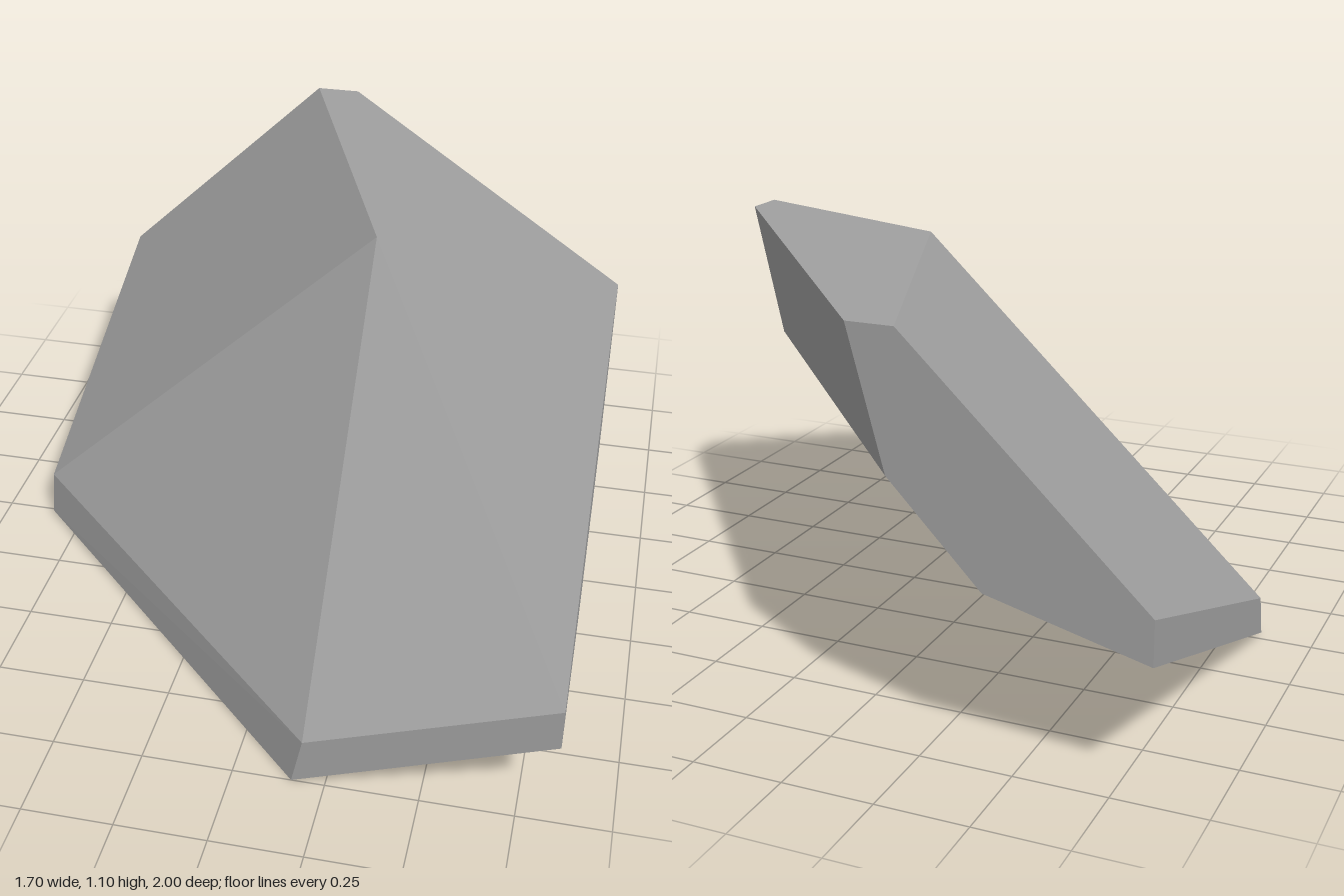
import * as THREE from 'three';
import { ConvexGeometry } from 'three/addons/geometries/ConvexGeometry.js';

const stone = new THREE.MeshStandardMaterial({ color: 0xa0a0a0 });
stone.name = 'grey stone';

// Corners of each flat cut; the faceted rock is the solid stretched between them.
const topRidge = [[0.18, 1.1, 0]];
const leanToLeft = [[-0.85, 0.48, -1], [-0.85, 0.36, -1], [-0.85, 0.13, -0.01], [-0.85, 0.01, 0.02]];
const rightCut = [
  [0.85, 1.1, 0.25], [0.85, 1.1, 0.13], [0.85, 0.66, 0.28],
  [0.85, 0.38, 0.6], [0.85, 0.26, 1], [0.85, 0.38, 1],
];
const backCut = [[-0.2, 1.1, -1], [-0.07, 1.1, -1], [-0.17, 0.73, -1], [-0.42, 0.47, -1]];
const frontLip = [[0.19, 0.14, 1], [0.16, 0, 1]];
const underside = [[0.05, 0.008, 0.46], [-0.43, 0.005, 0.02]];

export function createModel() {
  const corners = [topRidge, leanToLeft, rightCut, backCut, frontLip, underside]
    .flat()
    .map((p) => new THREE.Vector3(...p));

  const rock = new THREE.Mesh(new ConvexGeometry(corners), stone);
  rock.name = 'rock';

  const group = new THREE.Group();
  group.name = 'facetedRock';
  group.add(rock);
  return group;
}
